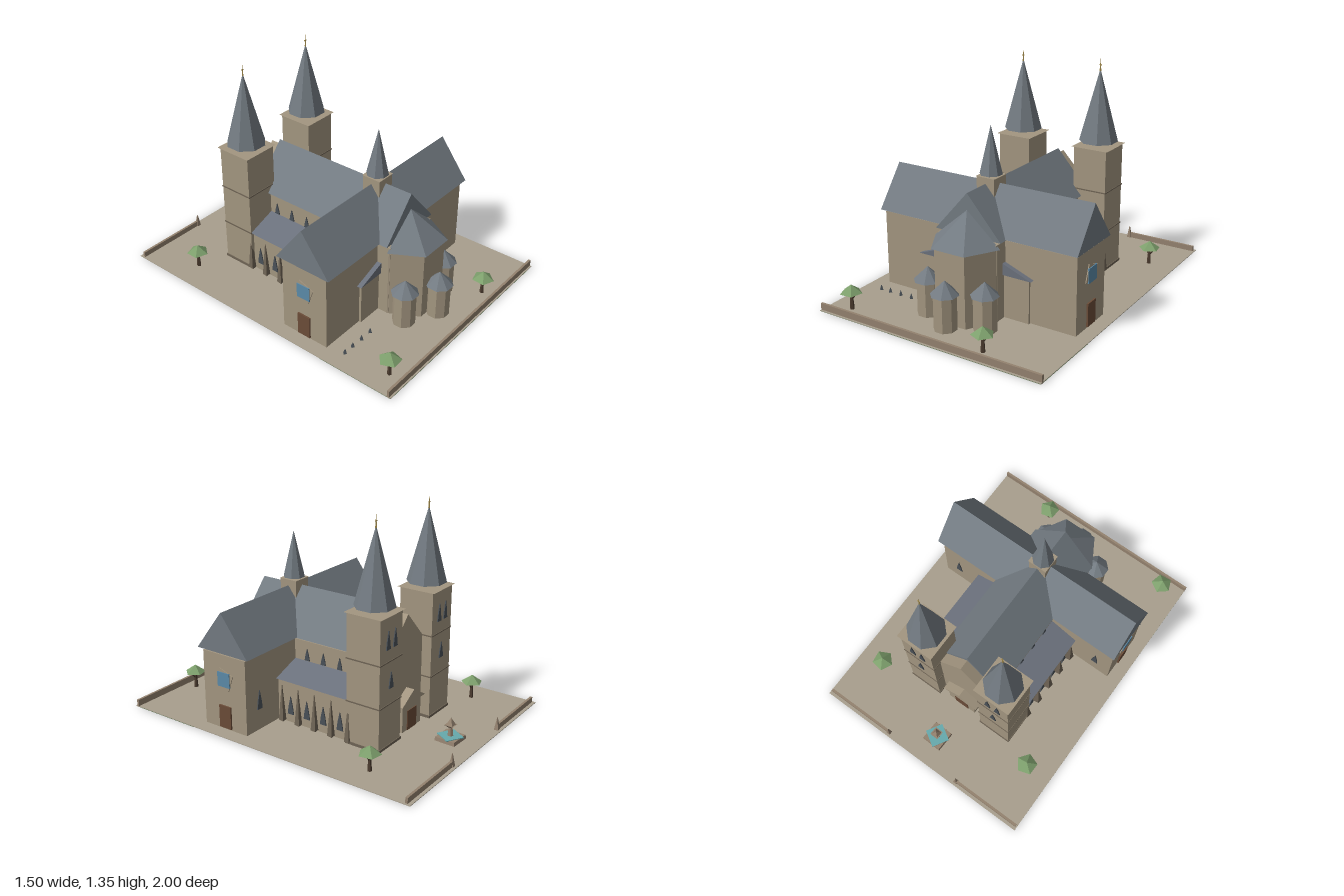
import * as THREE from 'three';

const mat = (color) => new THREE.MeshStandardMaterial({ color, flatShading: true, side: THREE.DoubleSide });
const M = {
  wall: mat(0xa39680), roof: mat(0x737b82), aisle: mat(0x6b717c), ground: mat(0xa89f8d), curb: mat(0x94826f),
  dark: mat(0x4a5158), brown: mat(0x6b4c38), glass: mat(0x5b8aa8), lawn: mat(0x4f6b45), leaf: mat(0x7d9f6c),
  trunk: mat(0x4d3d30), water: mat(0x66a9ad), gold: mat(0xa89050), trim: mat(0x6f6455),
};

export function createModel() {
  const root = new THREE.Group();
  const add = (name, geo, m, x = 0, y = 0, z = 0, parent = root) => {
    const mesh = new THREE.Mesh(geo, m);
    mesh.name = name;
    mesh.position.set(x, y, z);
    parent.add(mesh);
    return mesh;
  };
  // box given by its extents
  const box = (name, m, x0, x1, y0, y1, z0, z1, parent = root) =>
    add(name, new THREE.BoxGeometry(x1 - x0, y1 - y0, z1 - z0), m, (x0 + x1) / 2, (y0 + y1) / 2, (z0 + z1) / 2, parent);
  // outline in x/y extruded along z
  const prism = (name, m, pts, z0, z1, parent = root) => {
    const shape = new THREE.Shape(pts.map((p) => new THREE.Vector2(p[0], p[1])));
    return add(name, new THREE.ExtrudeGeometry(shape, { depth: z1 - z0, bevelEnabled: false }), m, 0, 0, z0, parent);
  };
  // upright tapered solid standing on y
  const taper = (name, m, rTop, rBot, h, n, x, y, z, turn = 0, parent = root) => {
    const mesh = add(name, new THREE.CylinderGeometry(rTop, rBot, h, n, 1), m, x, y + h / 2, z, parent);
    mesh.rotation.y = turn;
    return mesh;
  };
  const plate = (name, m, w, d, x, y, z) => add(name, new THREE.PlaneGeometry(w, d).rotateX(-Math.PI / 2), m, x, y, z);
  // pointed window facing +z before turning
  const lancet = (w, h, x, y, z, turn) => {
    const s = new THREE.Shape();
    s.moveTo(-w / 2, 0); s.lineTo(w / 2, 0); s.lineTo(w * 0.32, h * 0.45); s.lineTo(0, h); s.lineTo(-w * 0.32, h * 0.45);
    const g = new THREE.ExtrudeGeometry(s, { depth: 0.006, bevelEnabled: false });
    add('lancetWindow', g, M.dark, x, y, z, root).rotation.y = turn;
  };
  const E = Math.PI / 8;

  // ground and lawns
  box('ground', M.ground, -0.75, 0.75, 0.002, 0.006, -1, 1);
  plate('frontLawn', M.lawn, 1.5, 0.25, 0, 0, 0.875);
  for (const s of [-1, 1]) plate('sideLawn', M.lawn, 0.45, 0.24, s * 0.525, 0, 0.63);

  // boundary walls
  box('frontWall', M.curb, -0.75, 0.75, 0, 0.047, 0.975, 0.99);
  for (const s of [-1, 1]) {
    const a = s * 0.28, b = s * 0.74;
    box('backWall', M.curb, Math.min(a, b), Math.max(a, b), 0, 0.04, -0.98, -0.965);
    taper('gatePost', M.curb, 0.002, 0.02, 0.085, 4, s * 0.27, 0, -0.972, Math.PI / 4);
  }

  // nave and choir
  box('naveWalls', M.wall, -0.2, 0.2, 0.005, 0.472, -0.45, 0.575);
  prism('naveRoof', M.roof, [[-0.222, 0.487], [0.222, 0.487], [0, 0.74]], -0.44, 0.565);

  // transept
  box('transeptWalls', M.wall, -0.66, 0.66, 0.005, 0.475, 0.165, 0.485);
  const tRoof = prism('transeptRoof', M.roof, [[-0.19, 0.49], [0.19, 0.49], [0, 0.74]], -0.676, 0.676);
  tRoof.rotation.y = Math.PI / 2;
  tRoof.position.set(-0.676, 0, 0.323);

  for (const s of [-1, 1]) {
    // aisle with lean-to roof, buttresses and windows
    const x0 = Math.min(s * 0.2, s * 0.365), x1 = Math.max(s * 0.2, s * 0.365);
    box('aisleWalls', M.wall, x0, x1, 0.005, 0.272, -0.36, 0.5);
    prism('aisleRoof', M.aisle, [[s * 0.2, 0.275], [s * 0.387, 0.275], [s * 0.2, 0.345]], -0.36, 0.515);
    for (let i = 0; i < 5; i++) {
      const z = -0.355 + i * 0.12;
      const b = taper('buttress', M.trim, 0.002, 0.023, 0.225, 4, s * 0.382, 0.015, z, Math.PI / 4);
      b.scale.x = 1.3;
      if (i === 4) continue;
      lancet(0.045, 0.115, s * 0.367, 0.06, z + 0.065, s * Math.PI / 2);
      lancet(0.036, 0.075, s * 0.202, 0.35, z + 0.065, s * Math.PI / 2);
    }

    // transept end: square rose window and door
    const rose = new THREE.Group();
    rose.name = 'transeptWindow';
    rose.position.set(s * 0.662, 0.325, 0.325);
    rose.rotation.y = s * Math.PI / 2;
    root.add(rose);
    add('windowFrame', new THREE.CylinderGeometry(0.076, 0.076, 0.006, 4).rotateX(Math.PI / 2), M.wall, 0, 0, 0.002, rose).rotation.z = 0.45;
    add('windowGlass', new THREE.CylinderGeometry(0.064, 0.064, 0.008, 4).rotateX(Math.PI / 2), M.glass, 0, 0, 0.006, rose).rotation.z = 0.8;
    box('transeptDoor', M.brown, s * 0.664 - 0.006, s * 0.664 + 0.006, 0.015, 0.157, 0.28, 0.368);
    for (const z of [0.23, 0.42]) lancet(0.045, 0.12, s * z * 1.3, 0.14, 0.163, Math.PI);

    // tower with string courses, cornice, spire and finial
    const tx = s * 0.276, tz = -0.458;
    box('towerBody', M.wall, tx - 0.111, tx + 0.111, 0.005, 0.802, tz - 0.111, tz + 0.111);
    box('towerPlinth', M.trim, tx - 0.116, tx + 0.116, 0.002, 0.022, tz - 0.116, tz + 0.116);
    for (const y of [0.27, 0.53]) box('stringCourse', M.trim, tx - 0.115, tx + 0.115, y, y + 0.007, tz - 0.115, tz + 0.115);
    plate('towerCornice', M.wall, 0.248, 0.248, tx, 0.804, tz);
    taper('towerSpire', M.roof, 0, 0.121, 0.455, 8, tx, 0.83, tz, E);
    taper('finial', M.gold, 0.001, 0.006, 0.075, 4, tx, 1.27, tz);
    box('finialBar', M.gold, tx - 0.008, tx + 0.008, 1.305, 1.311, tz - 0.002, tz + 0.002);
    for (const dx of [-0.035, 0.035]) lancet(0.042, 0.11, tx + dx, 0.61, tz - 0.112, Math.PI);
    lancet(0.045, 0.1, tx, 0.37, tz - 0.112, Math.PI);
  }

  // facade between the towers, with portal
  prism('facade', M.wall, [[-0.17, 0.005], [0.17, 0.005], [0.17, 0.53], [0, 0.71], [-0.17, 0.53]], -0.505, -0.43);
  prism('portal', M.wall, [[-0.1, 0.005], [0.1, 0.005], [0.1, 0.18], [-0.1, 0.18]], -0.545, -0.5);
  prism('portalGable', M.wall, [[-0.125, 0.18], [0.125, 0.18], [0, 0.255]], -0.56, -0.5);
  box('portalDoor', M.brown, -0.05, 0.05, 0.006, 0.13, -0.549, -0.544);

  // crossing turret
  box('turretBody', M.wall, -0.06, 0.06, 0.64, 0.776, 0.263, 0.383);
  plate('turretCornice', M.wall, 0.128, 0.128, 0, 0.778, 0.323);
  taper('turretSpire', M.roof, 0, 0.068, 0.29, 8, 0, 0.785, 0.323, E);

  // apse: three sides of a hexagon
  const half = [3, 1, true, -Math.PI / 2, Math.PI];
  add('apseWalls', new THREE.CylinderGeometry(0.203, 0.203, 0.445, ...half), M.wall, 0, 0.2275, 0.567);
  add('apseRoof', new THREE.ConeGeometry(0.222, 0.19, ...half), M.roof, 0, 0.545, 0.567);
  add('apseSoffit', new THREE.CircleGeometry(0.222, 3, 0, Math.PI).rotateX(Math.PI / 2), M.trim, 0, 0.45, 0.567);

  // radiating chapels
  for (const [x, z] of [[-0.196, 0.685], [0, 0.79], [0.196, 0.685]]) {
    taper('chapelWalls', M.wall, 0.069, 0.069, 0.212, 8, x, 0.004, z, E);
    taper('chapelRoof', M.roof, 0, 0.084, 0.084, 8, x, 0.216, z, E);
  }

  // trees
  for (const [x, z, t] of [[-0.58, -0.635, 0.3], [0.575, -0.635, 1.1], [-0.605, 0.885, 0.7], [0.325, 0.895, 1.5]]) {
    taper('treeTrunk', M.trunk, 0.007, 0.014, 0.11, 5, x, 0.004, z);
    for (const s of [-1, 1]) {
      const b = taper('treeBranch', M.trunk, 0.002, 0.006, 0.05, 4, x + s * 0.016, 0.06, z);
      b.rotation.z = -s * 0.8;
    }
    taper('treeCrown', M.leaf, 0, 0.068, 0.05, 5, x, 0.11, z, t);
  }

  // fountain
  taper('fountainBasin', M.curb, 0.09, 0.095, 0.025, 4, 0, 0.004, -0.81, 0.75);
  taper('fountainWater', M.water, 0.08, 0.08, 0.006, 4, 0, 0.027, -0.81, 0.25);
  taper('fountainColumn', M.curb, 0.01, 0.02, 0.07, 6, 0, 0.025, -0.81);
  taper('fountainBowl', M.curb, 0.04, 0.01, 0.02, 4, 0, 0.08, -0.81, 0.75);
  taper('fountainTop', M.curb, 0, 0.03, 0.045, 4, 0, 0.1, -0.81, 0.75);

  // marker stones
  for (const x of [-0.63, -0.56, -0.48, -0.4]) taper('markerStone', M.dark, 0, 0.014, 0.035, 4, x, 0.004, 0.595);

  return root;
}
